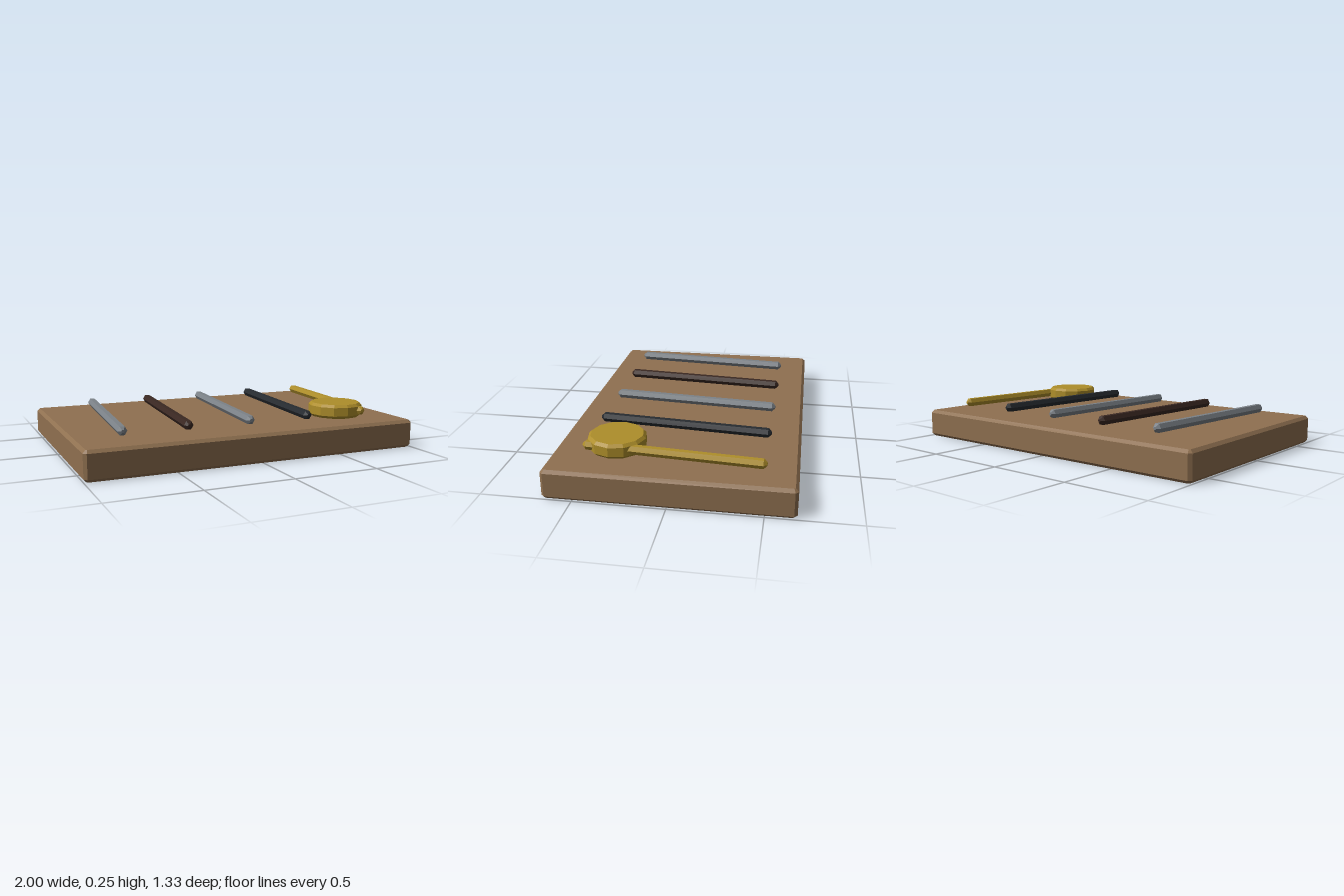
import * as THREE from 'three';

const mat = (color) => new THREE.MeshStandardMaterial({ color, flatShading: true });

// Faceted solid of revolution with chamfered rims, centred on the origin along y
function chamferedPrism(radius, height, chamfer, sides, phase) {
  const h = height / 2;
  const profile = [
    [0, -h], [radius - chamfer, -h], [radius, -h + chamfer],
    [radius, h - chamfer], [radius - chamfer, h], [0, h],
  ].map(([x, y]) => new THREE.Vector2(x, y));
  return new THREE.LatheGeometry(profile, sides, phase);
}

// Slab with every edge chamfered, standing on y = 0
function chamferedSlab(width, height, depth, chamfer) {
  const x = width / 2 - chamfer, z = depth / 2 - chamfer, c = chamfer * 0.41;
  const outline = new THREE.Shape([
    [x - c, -z], [x, -z + c], [x, z - c], [x - c, z],
    [-x + c, z], [-x, z - c], [-x, -z + c], [-x + c, -z],
  ].map(([a, b]) => new THREE.Vector2(a, b)));
  return new THREE.ExtrudeGeometry(outline, {
    depth: height - 2 * chamfer, bevelEnabled: true, bevelSegments: 1,
    bevelSize: chamfer, bevelThickness: chamfer,
  }).rotateX(-Math.PI / 2).translate(0, chamfer, 0);
}

export function createModel() {
  const group = new THREE.Group();
  const add = (name, geometry, material) => {
    const mesh = new THREE.Mesh(geometry, material);
    mesh.name = name;
    group.add(mesh);
    return mesh;
  };
  const steel = mat(0x7c8288), brown = mat(0x3a2822);
  const black = mat(0x272b30), brass = mat(0xae8e2a);

  // Wooden board
  add('board', chamferedSlab(2, 0.167, 1.33, 0.017), mat(0x8f7050));

  // Five slanted hexagonal rods, evenly spaced
  const rod = chamferedPrism(0.0275, 1, 0.018, 6, Math.PI / 2).rotateX(Math.PI / 2);
  [steel, brown, steel, black, brass].forEach((material, i) => {
    const mesh = add(`rod${i + 1}`, rod, material);
    mesh.position.set(-0.71 + i * 0.375, 0.211, 0);
    mesh.rotation.y = -0.08;
  });

  // Brass disc over the end of the last rod
  const disc = add('disc', chamferedPrism(0.163, 0.084, 0.016, 12, 0), brass);
  disc.position.set(0.665, 0.209, 0.33);
  disc.rotation.y = -0.08;

  return group;
}
